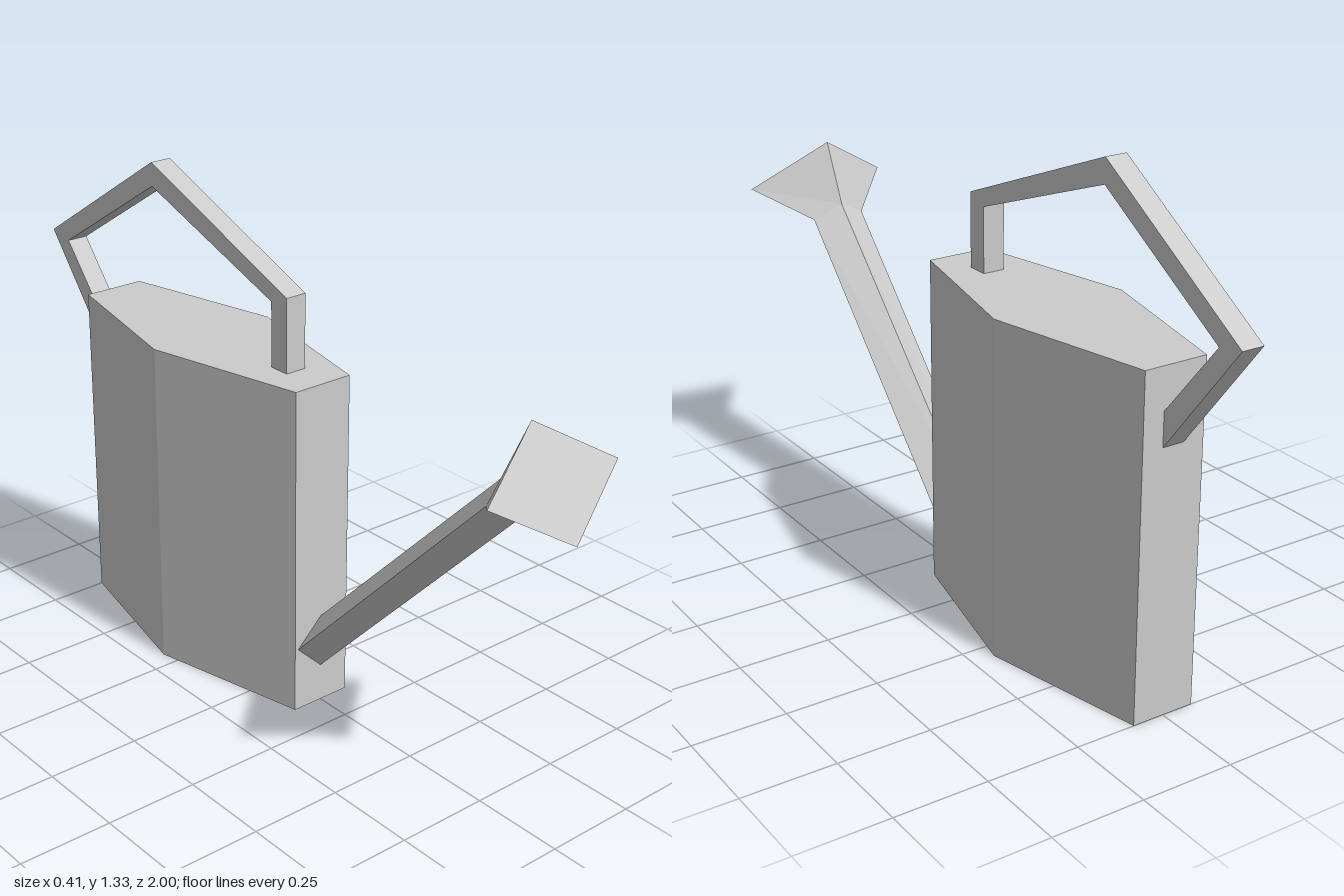
import * as THREE from 'three';

const grey = () => new THREE.MeshStandardMaterial({ color: 0xcccccc, flatShading: true });

function addPart(group, name, geometry) {
  const mesh = new THREE.Mesh(geometry, grey());
  mesh.name = name;
  group.add(mesh);
}

function extrude(points, depth) {
  const shape = new THREE.Shape(points.map(([x, y]) => new THREE.Vector2(x, y)));
  return new THREE.ExtrudeGeometry(shape, { depth, bevelEnabled: false });
}

// Diamond cross-section given as [z, y] of its top, side and bottom corners
function diamond([top, side, bottom], halfWidth) {
  return [
    [0, top[1], top[0]],
    [halfWidth, side[1], side[0]],
    [0, bottom[1], bottom[0]],
    [-halfWidth, side[1], side[0]],
  ];
}

// Joins two diamonds from back to front, with an optional front cap
function loft(back, front, capped) {
  const corners = [];
  for (let i = 0; i < 4; i++) {
    const j = (i + 1) % 4;
    corners.push(back[i], front[i], front[j], back[i], front[j], back[j]);
  }
  if (capped) corners.push(front[0], front[3], front[2], front[0], front[2], front[1]);
  const geometry = new THREE.BufferGeometry();
  geometry.setAttribute('position', new THREE.Float32BufferAttribute(corners.flat(), 3));
  geometry.computeVertexNormals();
  return geometry;
}

export function createModel() {
  const can = new THREE.Group();
  can.name = 'wateringCan';

  // Tank: upright six-sided prism, widest in the middle
  const tank = extrude([
    [0.087, -0.15], [0.187, 0.3], [0.087, 0.75],
    [-0.087, 0.75], [-0.187, 0.3], [-0.087, -0.15],
  ], 0.91);
  tank.rotateX(-Math.PI / 2);
  addPart(can, 'tank', tank);

  // Handle: flat bent bar drawn in the side plane as [z, y]
  const handle = extrude([
    [0.045, 0.91], [0.045, 1.11], [-0.51, 1.33], [-1, 1.025], [-0.75, 0.71],
    [-0.75, 0.8], [-0.925, 1.01], [-0.51, 1.265], [-0.015, 1.085], [-0.015, 0.91],
  ], 0.06);
  handle.translate(0, 0, -0.03);
  handle.rotateY(-Math.PI / 2);
  addPart(can, 'handle', handle);

  // Spout and its flared sprinkler head share the neck section
  const base = diamond([[0.15, 0.255], [0.15, 0.18], [0.15, 0.105]], 0.077);
  const neck = diamond([[0.77, 0.885], [0.795, 0.845], [0.825, 0.8]], 0.077);
  const rim = diamond([[0.845, 1.05], [0.9225, 0.925], [1, 0.8]], 0.207);
  addPart(can, 'spout', loft(base, neck, false));
  addPart(can, 'sprinklerHead', loft(neck, rim, true));

  return can;
}
